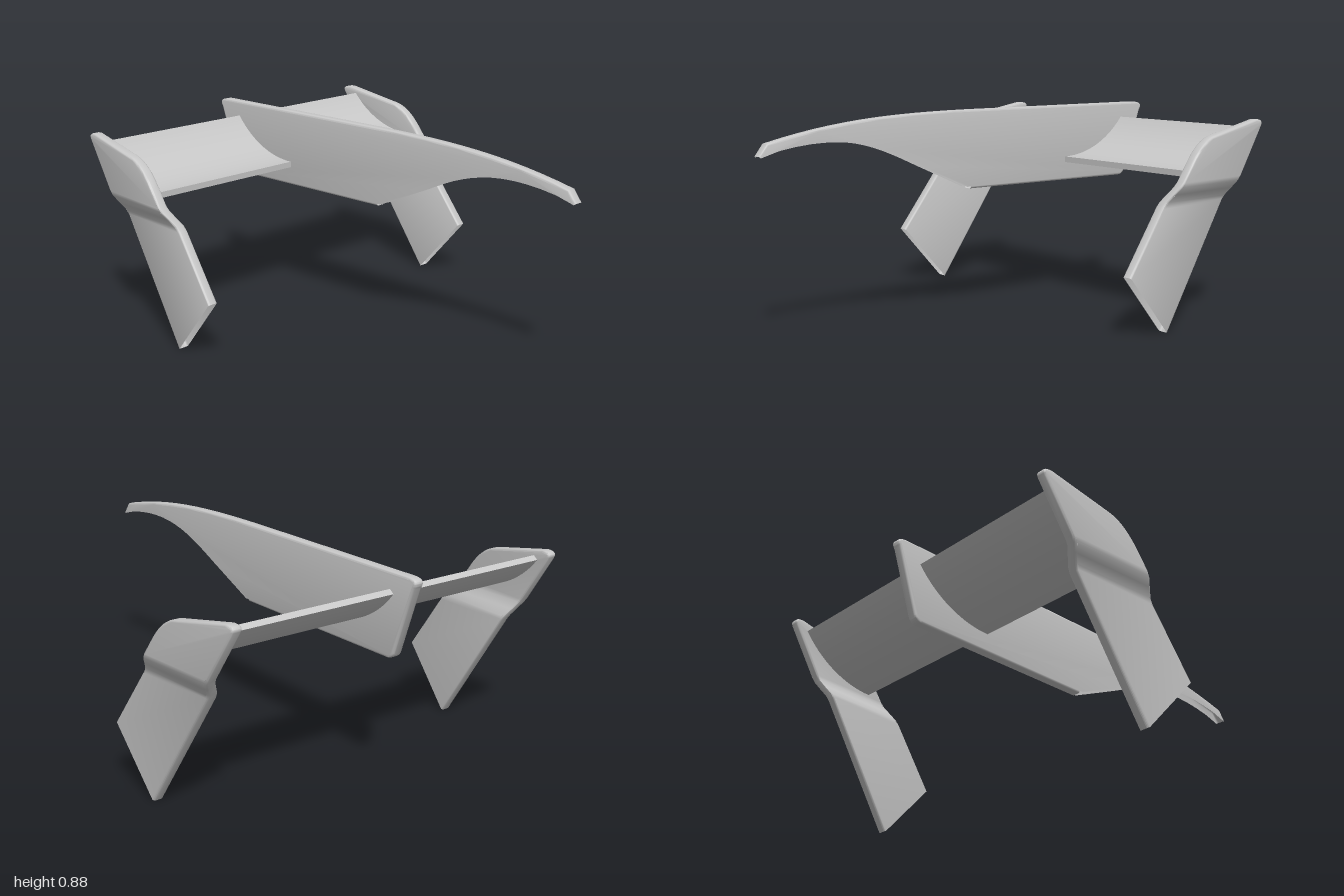
import * as THREE from 'three';
import { toCreasedNormals } from 'three/addons/utils/BufferGeometryUtils.js';

const HALF = 0.022;   // half thickness of the panels
const ROUND = 0.009;  // edge rounding

// Keep the part of a (z, y) polygon above (sign 1) or below (sign -1) a level
function clip(poly, level, sign) {
  const out = [];
  poly.forEach((a, i) => {
    const b = poly[(i + 1) % poly.length];
    const da = (a.y - level) * sign, db = (b.y - level) * sign;
    if (da >= 0) out.push(a);
    if (da * db < 0) out.push(a.clone().lerp(b, da / (da - db)));
  });
  return out;
}

// Add points to a path wherever it crosses one of the levels
function splitAt(path, levels) {
  const out = [path[0]];
  for (let i = 1; i < path.length; i++) {
    const a = path[i - 1], b = path[i];
    levels.map((l) => (l - a.y) / (b.y - a.y))
      .filter((t) => t > 0.001 && t < 0.999)
      .sort((p, q) => p - q)
      .forEach((t) => out.push(a.clone().lerp(b, t)));
    out.push(b);
  }
  return out;
}

// Hollow panel: two side skins and a rounded rim along rimPath (counter-clockwise in z, y).
// The remaining edge, openPath, has no rim. offset(z, y) bends the panel in x.
function panel(rimPath, openPath, levels = [], offset = () => 0) {
  const path = splitAt(rimPath, levels);
  const last = path.length - 1;
  const normals = path.map((p, i) => {
    const d = path[Math.min(i + 1, last)].clone().sub(path[Math.max(i - 1, 0)]).normalize();
    return new THREE.Vector2(d.y, -d.x);
  });
  const inset = (i, r) => path[i].clone().addScaledVector(normals[i], -r);
  const pos = [];
  const put = (p, x) => pos.push(x + offset(p.x, p.y), p.y, p.x);

  // side skins, cut into bands so that they can bend
  const outline = [...path.map((p, i) => inset(i, ROUND)), ...openPath];
  const cuts = [-1, ...levels, 2];
  for (let k = 0; k + 1 < cuts.length; k++) {
    const band = clip(clip(outline, cuts[k], 1), cuts[k + 1], -1);
    for (const tri of THREE.ShapeUtils.triangulateShape(band, [])) {
      let [a, b, c] = tri.map((i) => band[i]);
      if (b.clone().sub(a).cross(c.clone().sub(a)) < 0) [b, c] = [c, b];
      [a, b, c].forEach((p) => put(p, -HALF));
      [a, c, b].forEach((p) => put(p, HALF));
    }
  }

  // rounded rim
  const section = [];
  for (const s of [1, -1]) {
    for (let j = 0; j <= 3; j++) {
      const t = ((s > 0 ? j : 3 - j) / 3) * Math.PI / 2;
      section.push([ROUND * (1 - Math.sin(t)), s * (HALF - ROUND + ROUND * Math.cos(t))]);
    }
  }
  for (let i = 0; i < last; i++) {
    for (let j = 0; j + 1 < section.length; j++) {
      const [r0, x0] = section[j], [r1, x1] = section[j + 1];
      const a = [inset(i, r0), x0], b = [inset(i + 1, r0), x0];
      const c = [inset(i, r1), x1], d = [inset(i + 1, r1), x1];
      [a, b, c, b, d, c].forEach(([p, x]) => put(p, x));
    }
  }
  const geo = new THREE.BufferGeometry();
  geo.setAttribute('position', new THREE.Float32BufferAttribute(pos, 3));
  return toCreasedNormals(geo, 0.6);
}

export function createModel() {
  const group = new THREE.Group();
  const grey = new THREE.MeshStandardMaterial({ color: 0xc8c8c8, side: THREE.DoubleSide });
  grey.name = 'light grey';
  const add = (name, geo) => {
    const mesh = new THREE.Mesh(geo, grey);
    mesh.name = name;
    group.add(mesh);
  };

  // Long centre fin, open along its curved underside
  const finRim = new THREE.Path();
  finRim.moveTo(1, 0.74).lineTo(0.965, 0.787)
    .bezierCurveTo(0.66, 0.86, 0.4, 0.878, 0, 0.88)
    .lineTo(-0.95, 0.88).quadraticCurveTo(-1.02, 0.88, -0.99, 0.84)
    .lineTo(-0.9, 0.57).quadraticCurveTo(-0.888, 0.545, -0.86, 0.545)
    .lineTo(0, 0.545);
  const finUnder = new THREE.Path();
  finUnder.moveTo(0.02, 0.554).lineTo(0.25, 0.655)
    .bezierCurveTo(0.45, 0.745, 0.62, 0.83, 0.99, 0.741);
  add('centreFin', panel(finRim.getPoints(12), finUnder.getPoints(14)));

  // Curved wing blade
  const R = 0.433, T = 0.025, cy = 0.65 + R;
  const blade = new THREE.Shape();
  blade.absarc(0.53, cy, R + T, -Math.PI / 2, -0.67, false);
  blade.absarc(0.53, cy, R, -0.67, -Math.PI / 2, true);
  const wing = new THREE.ExtrudeGeometry(blade, { depth: 1.56, bevelEnabled: false, curveSegments: 20 });
  wing.translate(0, 0, -0.78).rotateY(Math.PI / 2);
  add('wingBlade', toCreasedNormals(wing, 0.5));

  // End plates: toed in, with a step between the upper and lower parts, open at the foot
  const plateRim = new THREE.Path();
  plateRim.moveTo(-0.19, 0.255).lineTo(-0.5, 0.685)
    .quadraticCurveTo(-0.565, 0.775, -0.64, 0.79)
    .lineTo(-0.91, 0.843).quadraticCurveTo(-0.965, 0.845, -0.942, 0.81)
    .lineTo(-0.42, 0.002);
  const levels = [0.515, 0.535, 0.565, 0.595, 0.615];
  for (const side of [1, -1]) {
    const offset = (z, y) =>
      side * (0.756 + 0.072 * (z + 0.44) + 0.047 * THREE.MathUtils.smoothstep(y, 0.515, 0.615));
    add(side > 0 ? 'leftEndPlate' : 'rightEndPlate', panel(plateRim.getPoints(8), [], levels, offset));
  }
  return group;
}
